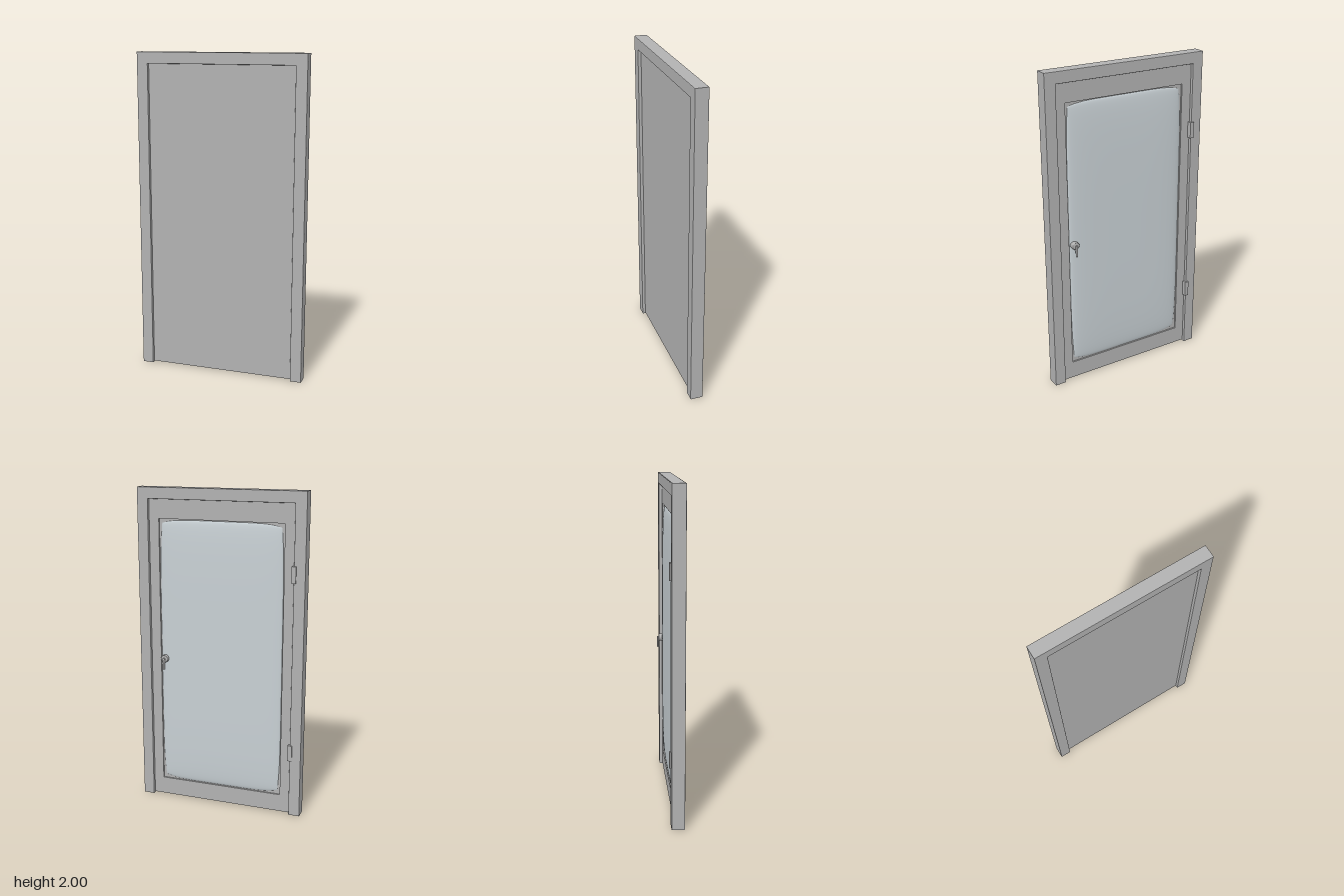
import * as THREE from 'three';

const frameGrey = new THREE.MeshStandardMaterial({ name: 'frame grey', color: 0xb2b2b2 });
const paneGrey = new THREE.MeshStandardMaterial({ name: 'pane blue grey', color: 0xc8d0d4 });

function part(name, geometry, material, x = 0, y = 0, z = 0) {
  const mesh = new THREE.Mesh(geometry, material);
  mesh.name = name;
  mesh.position.set(x, y, z);
  return mesh;
}

function rect(Type, x0, y0, x1, y1) {
  const r = new Type();
  r.moveTo(x0, y0);
  r.lineTo(x1, y0);
  r.lineTo(x1, y1);
  r.lineTo(x0, y1);
  r.closePath();
  return r;
}

// Three-sided surround with softly bevelled edges
function makeFrame() {
  const points = [[-0.53, 0], [-0.46, 0], [-0.46, 1.93], [0.46, 1.93],
    [0.46, 0], [0.53, 0], [0.53, 2], [-0.53, 2]];
  const shape = new THREE.Shape(points.map(([x, y]) => new THREE.Vector2(x, y)));
  const b = 0.004;
  const geo = new THREE.ExtrudeGeometry(shape, {
    depth: 0.08 - 2 * b, bevelThickness: b, bevelSize: b, bevelOffset: -b, bevelSegments: 2,
  });
  return part('doorFrame', geo, frameGrey, 0, 0, -0.03 + b);
}

// Cushion-like pane facing -z: its edges bow out and its corners draw in
function makePane() {
  const geo = new THREE.PlaneGeometry(2, 2, 40, 40).rotateY(Math.PI);
  const pos = geo.attributes.position;
  for (let i = 0; i < pos.count; i++) {
    const u = Math.sin(pos.getX(i) * Math.PI / 2);
    const v = Math.sin(pos.getY(i) * Math.PI / 2);
    const dome = Math.max(0, (1 - u ** 4) * (1 - v ** 4));
    pos.setXYZ(i, u * (0.392 - 0.014 * v ** 6), v * (0.842 - 0.022 * u ** 6), -0.024 * dome ** 0.4);
  }
  geo.computeVertexNormals();
  return part('pane', geo, paneGrey, 0, 0.965, -0.0005);
}

// Door leaf: solid front panel, with a raised border round the pane at the back
function makeLeaf() {
  const leaf = new THREE.Group();
  leaf.name = 'doorLeaf';
  leaf.add(part('frontPanel', new THREE.BoxGeometry(0.92, 1.923, 0.03), frameGrey, 0, 0.9685, 0.015));
  const border = rect(THREE.Shape, -0.46, 0.007, 0.46, 1.93);
  border.holes.push(rect(THREE.Path, -0.397, 0.118, 0.397, 1.812));
  leaf.add(part('backBorder',
    new THREE.ExtrudeGeometry(border, { depth: 0.01, bevelEnabled: false }), frameGrey, 0, 0, -0.01));
  leaf.add(makePane());
  return leaf;
}

// Round rose with a short spindle and a lever hanging down
function makeHandle() {
  const handle = new THREE.Group();
  handle.name = 'handle';
  handle.position.set(0.365, 0.938, 0);
  const profile = [[0, -0.01], [0.024, -0.01], [0.024, 0.036], [0.02, 0.04], [0, 0.041]]
    .map(([r, h]) => new THREE.Vector2(r, h));
  const rose = new THREE.LatheGeometry(profile, 28).rotateX(-Math.PI / 2);
  handle.add(part('rose', rose, frameGrey));
  const spindle = new THREE.CylinderGeometry(0.008, 0.008, 0.012, 16).rotateX(Math.PI / 2);
  handle.add(part('spindle', spindle, frameGrey, 0, 0, -0.043));
  const lever = new THREE.CapsuleGeometry(0.0075, 0.06, 6, 16);
  lever.scale(1, 1, 0.8);
  handle.add(part('lever', lever, frameGrey, 0, -0.031, -0.045));
  return handle;
}

export function createModel() {
  const model = new THREE.Group();
  model.name = 'door';
  model.add(makeFrame(), makeLeaf(), makeHandle());
  // Hinges straddling the joint between leaf and frame
  [['lowerHinge', 0.415], ['upperHinge', 1.52]].forEach(([name, y]) => {
    model.add(part(name, new THREE.BoxGeometry(0.026, 0.1, 0.03), frameGrey, -0.462, y, -0.024));
  });
  return model;
}
